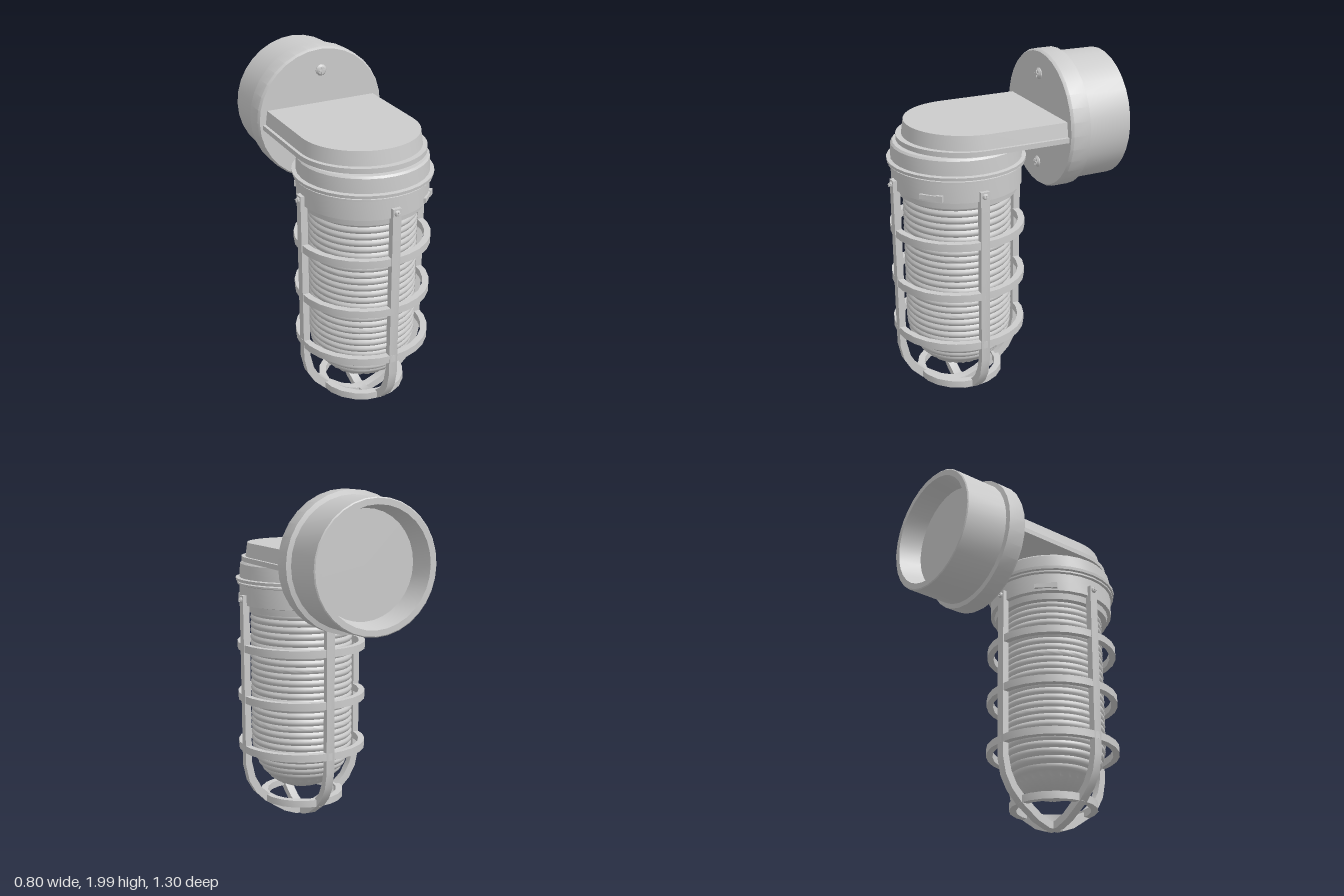
import * as THREE from 'three';
import { toCreasedNormals } from 'three/addons/utils/BufferGeometryUtils.js';

const material = new THREE.MeshStandardMaterial({ color: 0xcccccc });
const LAMP_Z = 0.25; // axis of the hanging lamp

function part(parent, name, geometry, crease = 0.6) {
  const mesh = new THREE.Mesh(toCreasedNormals(geometry, crease), material);
  mesh.name = name;
  parent.add(mesh);
  return mesh;
}

// Profile points run up the outside, then back to the axis.
function lathe(points, segments = 32) {
  return new THREE.LatheGeometry(points.map(([r, y]) => new THREE.Vector2(r, y)), segments);
}

// Square-ended band around the lamp axis.
function band(rIn, rOut, y0, y1, segments = 28) {
  return lathe([[rIn, y0], [rOut, y0], [rOut, y1], [rIn, y1], [rIn, y0]], segments);
}

// Flat slab with straight sides and a rounded front end; taper narrows its top.
function roundedSlab(half, zBack, zCentre, y0, y1, taper) {
  const shape = new THREE.Shape();
  shape.moveTo(-half, -zBack);
  shape.lineTo(-half, -zCentre);
  shape.absarc(0, -zCentre, half, Math.PI, Math.PI * 2, false);
  shape.lineTo(half, -zBack);
  shape.closePath();
  const g = new THREE.ExtrudeGeometry(shape, { depth: y1 - y0, bevelEnabled: false, curveSegments: 16 });
  g.rotateX(-Math.PI / 2).translate(0, y0, 0);
  const p = g.attributes.position;
  for (let i = 0; i < p.count; i++) {
    if (p.getY(i) < (y0 + y1) / 2) continue;
    p.setX(i, p.getX(i) * taper);
    if (p.getZ(i) > zCentre) p.setZ(i, zCentre + (p.getZ(i) - zCentre) * taper);
  }
  return g;
}

// Domed screw head with a crossed ridge, facing +z.
function screw(name, radius) {
  const group = new THREE.Group();
  group.name = name;
  const head = lathe([[radius, -0.02], [radius, 0.006], [radius * 0.7, 0.016], [0, 0.02]], 12);
  part(group, 'screwHead', head.rotateX(Math.PI / 2));
  for (const [w, h] of [[1.2, 0.3], [0.3, 1.2]]) {
    part(group, 'screwCross', new THREE.BoxGeometry(radius * w, radius * h, 0.012)).position.z = 0.018;
  }
  return group;
}

function ribbedGlass() {
  const profile = [[0, 0.19], [0.05, 0.19], [0.1, 0.203], [0.15, 0.225], [0.2, 0.262]];
  // Ridges climb the dome, then the straight wall
  const ridges = 26, steps = 4, yStart = 0.28, yEnd = 1.29, yDome = 0.5;
  for (let i = 0; i <= ridges * steps; i++) {
    const t = i / (ridges * steps);
    const y = yStart + (yEnd - yStart) * t;
    const k = Math.max(0, (yDome - y) / (yDome - 0.185));
    const r = 0.295 * Math.sqrt(1 - k * k);
    profile.push([r + 0.01 * Math.abs(Math.sin(t * ridges * Math.PI)), y]);
  }
  const g = lathe(profile, 48);
  // Radial flutes around the bottom of the dome
  const p = g.attributes.position;
  for (let i = 0; i < p.count; i++) {
    const x = p.getX(i), y = p.getY(i), z = p.getZ(i);
    if (y > 0.275 || Math.hypot(x, z) < 0.08) continue;
    const column = Math.round(Math.atan2(x, z) / (Math.PI * 2) * 48);
    const s = column % 2 === 0 ? 1.02 : 0.95;
    p.setXYZ(i, x * s, y, z * s);
  }
  return g;
}

// U-shaped cage hoop cut from flat bar.
function cageHoop() {
  const outer = [[0.385, 1.38], [0.38, 0.36], [0.358, 0.26], [0.315, 0.185], [0.25, 0.12], [0.13, 0.04], [0.05, 0.01]];
  const inner = [[0.345, 1.38], [0.342, 0.38], [0.32, 0.285], [0.28, 0.212], [0.22, 0.155], [0.11, 0.08], [0.04, 0.052]];
  const mirror = (pts) => pts.map(([x, y]) => [-x, y]).reverse();
  const outline = [...outer, ...mirror(outer), ...mirror(inner).reverse(), ...inner.slice().reverse()];
  const shape = new THREE.Shape(outline.map(([x, y]) => new THREE.Vector2(x, y)));
  return new THREE.ExtrudeGeometry(shape, { depth: 0.05, bevelEnabled: false }).translate(0, 0, -0.025);
}

export function createModel() {
  const model = new THREE.Group();
  model.name = 'wallLamp';

  // Wall box: flanged drum, hollow at the back
  const box = part(model, 'wallBox', lathe([
    [0, 0.26], [0.382, 0.26], [0.392, 0.275], [0.392, 0.375], [0.366, 0.382],
    [0.364, 0.64], [0.358, 0.645], [0.325, 0.645], [0.3, 0.51], [0, 0.51],
  ], 32));
  box.rotation.x = -Math.PI / 2;
  box.position.y = 1.61;
  for (const y of [1.87, 1.35]) {
    const s = screw('flangeScrew', 0.033);
    s.position.set(0, y, -0.262);
    model.add(s);
  }

  // Arm from the wall box over the lamp
  const arm = new THREE.Group();
  arm.name = 'arm';
  model.add(arm);
  part(arm, 'armTop', roundedSlab(0.347, -0.28, 0.2, 1.595, 1.68, 0.965));
  part(arm, 'armLip', roundedSlab(0.364, -0.28, 0.215, 1.572, 1.6, 1));

  const lamp = new THREE.Group();
  lamp.name = 'lamp';
  lamp.position.z = LAMP_Z;
  model.add(lamp);

  // Cap with rim, and the collar below it
  part(lamp, 'neck', band(0, 0.31, 1.54, 1.59));
  part(lamp, 'cap', lathe([
    [0, 1.455], [0.385, 1.455], [0.387, 1.472], [0.364, 1.475], [0.36, 1.555], [0.35, 1.566], [0, 1.566],
  ]));
  part(lamp, 'collar', lathe([
    [0, 1.28], [0.338, 1.28], [0.342, 1.317], [0.364, 1.322], [0.364, 1.432],
    [0.378, 1.437], [0.378, 1.447], [0.35, 1.455], [0, 1.455],
  ]));

  // Latch tabs on two opposite sides of the collar
  for (const angle of [Math.PI / 4, Math.PI * 5 / 4]) {
    const latch = new THREE.Group();
    latch.name = 'latch';
    latch.rotation.y = angle;
    part(latch, 'latchBar', new THREE.BoxGeometry(0.13, 0.026, 0.03)).position.set(0, 1.35, 0.358);
    part(latch, 'latchStop', new THREE.BoxGeometry(0.035, 0.034, 0.03)).position.set(0.05, 1.35, 0.36);
    lamp.add(latch);
  }

  part(lamp, 'glass', ribbedGlass(), 0.9);

  // Cage: two crossed hoops, four rings and the hoop screws
  const cage = new THREE.Group();
  cage.name = 'cage';
  lamp.add(cage);
  for (const turn of [0, Math.PI / 2]) part(cage, 'cageHoop', cageHoop(), 0.5).rotation.y = turn;
  for (const y of [1.07, 0.765, 0.46]) part(cage, 'cageRing', band(0.345, 0.382, y - 0.022, y + 0.022));
  part(cage, 'bottomRing', band(0.21, 0.25, 0.118, 0.16, 20));
  for (let i = 0; i < 4; i++) {
    const holder = new THREE.Group();
    holder.name = 'hoopScrewHolder';
    holder.rotation.y = i * Math.PI / 2;
    const s = screw('hoopScrew', 0.018);
    s.position.set(0, 1.355, 0.378);
    holder.add(s);
    cage.add(holder);
  }
  return model;
}
